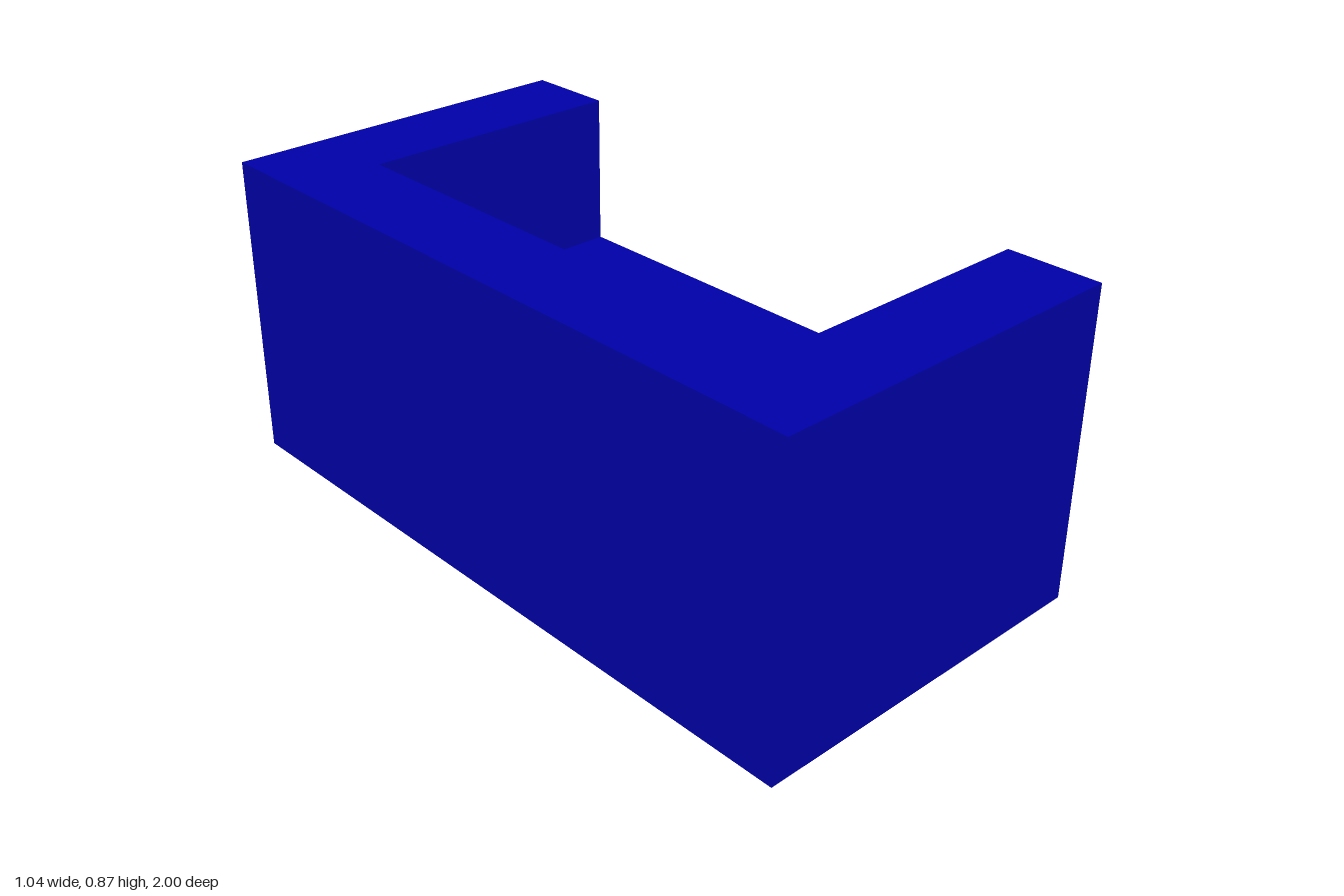
import * as THREE from 'three';

export function createModel() {
  const group = new THREE.Group();
  group.name = 'sofa';
  const blue = new THREE.MeshStandardMaterial({ color: 0x0000a8 });
  blue.name = 'deep blue';

  const halfX = 0.522, halfZ = 1, height = 0.87, seatHeight = 0.435;
  const backX = -0.26, armZ = 0.738;

  // Solid seat block
  const seat = new THREE.Mesh(new THREE.BoxGeometry(halfX * 2, seatHeight, halfZ * 2), blue);
  seat.name = 'seat';
  seat.position.y = seatHeight / 2;
  group.add(seat);

  // Backrest and both arms as one U-shaped wall, open towards +x
  const outline = new THREE.Shape([
    [-halfX, -halfZ], [halfX, -halfZ], [halfX, -armZ], [backX, -armZ],
    [backX, armZ], [halfX, armZ], [halfX, halfZ], [-halfX, halfZ],
  ].map(([x, z]) => new THREE.Vector2(x, z)));
  const wall = new THREE.ExtrudeGeometry(outline, { depth: height - seatHeight, bevelEnabled: false });
  wall.rotateX(-Math.PI / 2);
  const backAndArms = new THREE.Mesh(wall, blue);
  backAndArms.name = 'backAndArms';
  backAndArms.position.y = seatHeight;
  group.add(backAndArms);

  return group;
}
